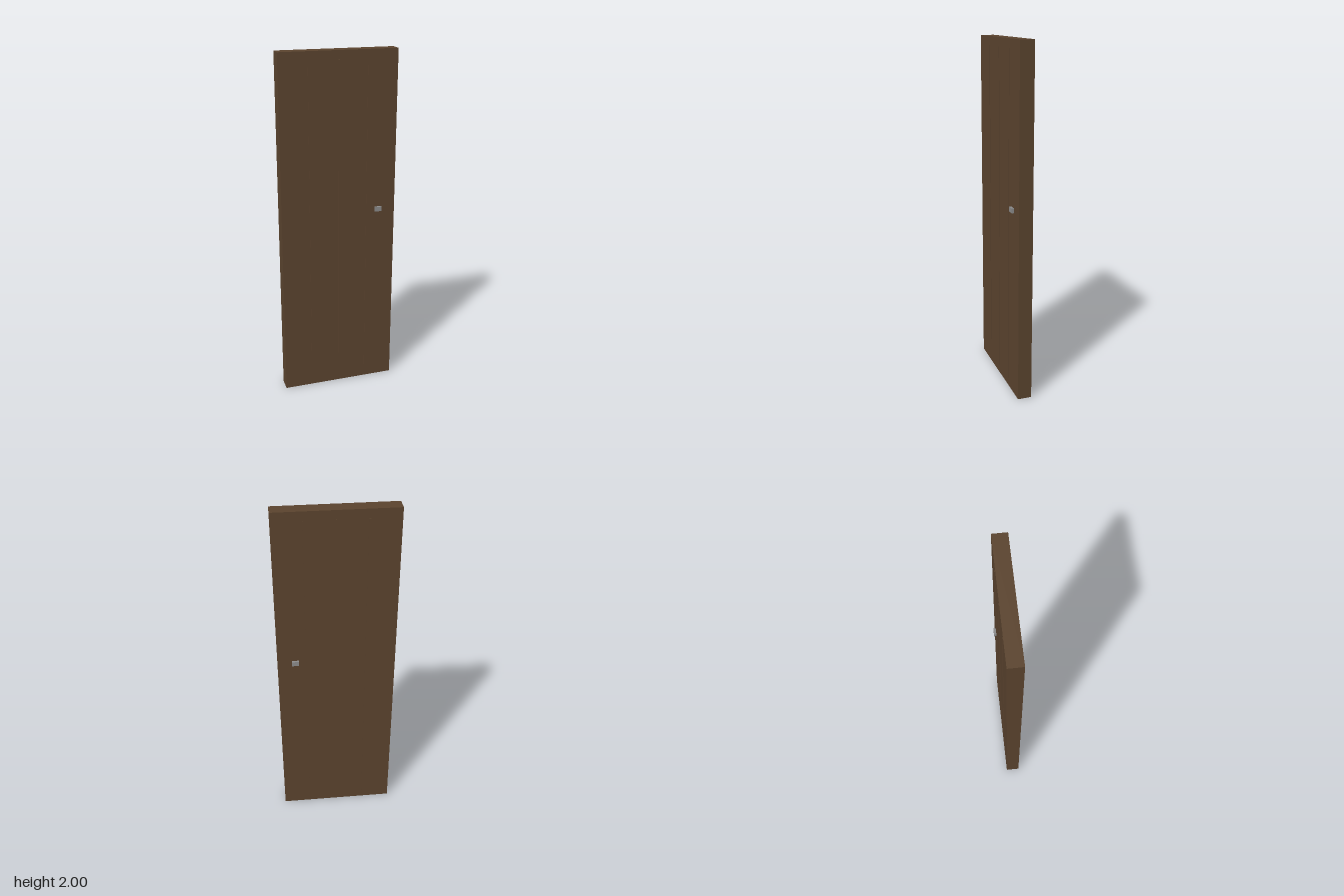
import * as THREE from 'three';

export function createModel() {
  const door = new THREE.Group();
  door.name = 'door';
  const wood = new THREE.MeshStandardMaterial({ name: 'dark wood', color: 0x5a432e });
  const metal = new THREE.MeshStandardMaterial({ name: 'grey metal', color: 0x8a8a8a });

  function box(name, material, size, position) {
    const mesh = new THREE.Mesh(new THREE.BoxGeometry(...size), material);
    mesh.name = name;
    mesh.position.set(...position);
    door.add(mesh);
  }

  // Solid door leaf
  box('doorPanel', wood, [0.667, 2, 0.08], [0, 1, 0]);

  // Thin vertical strips and a handle block on both faces
  for (const [side, s] of [['front', 1], ['back', -1]]) {
    for (const x of [-0.167, 0, 0.167]) {
      box(side + 'Strip', wood, [0.01, 1.9, 0.006], [x, 1, s * 0.0395]);
    }
    box(side + 'Handle', metal, [0.04, 0.027, 0.0133], [0.233, 1.1, s * 0.0467]);
  }
  return door;
}
